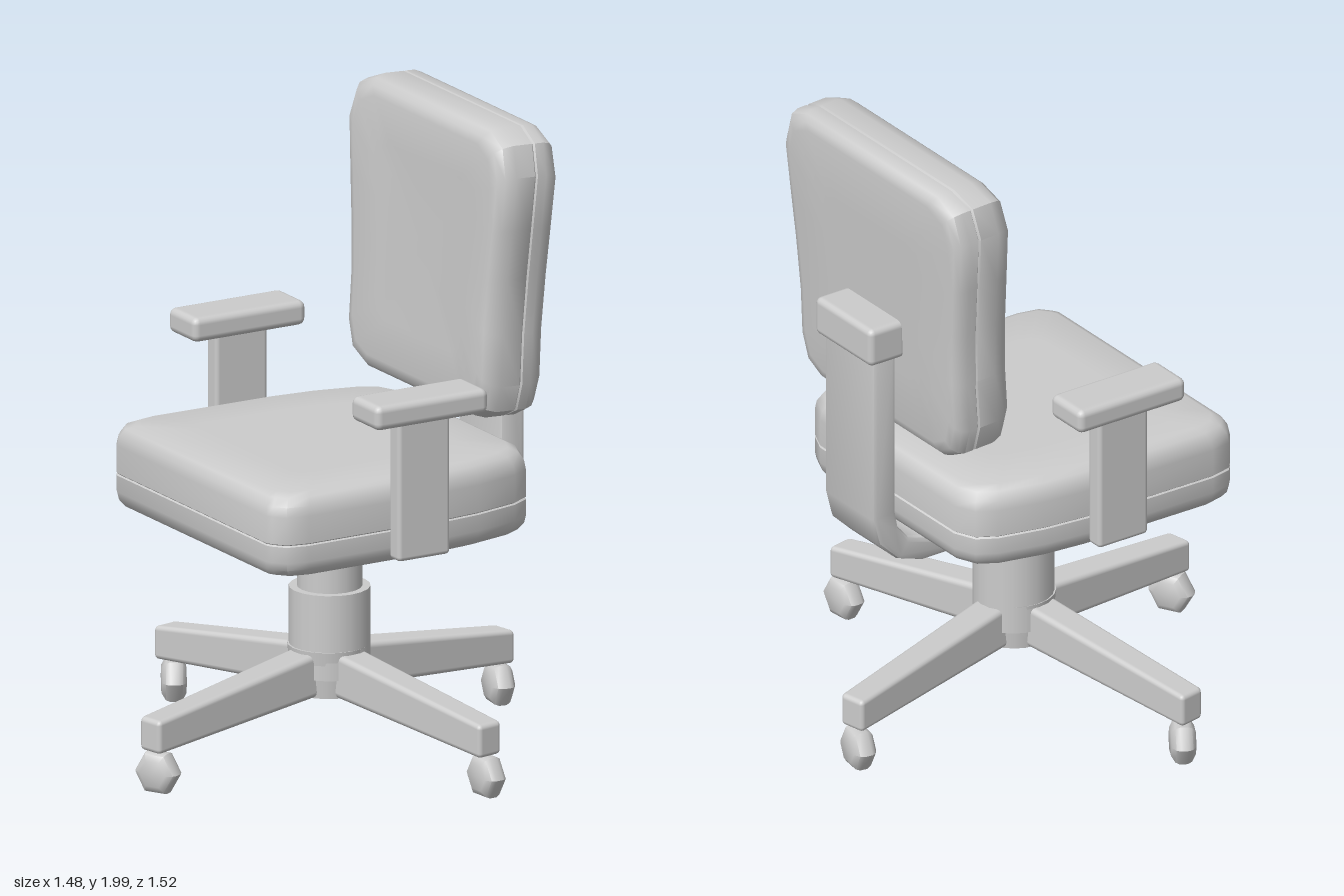
import * as THREE from 'three';
import { toCreasedNormals } from 'three/addons/utils/BufferGeometryUtils.js';
import { RoundedBoxGeometry } from 'three/addons/geometries/RoundedBoxGeometry.js';

const grey = new THREE.MeshStandardMaterial({ color: 0xcccccc });
grey.name = 'light grey';

function add(parent, name, geometry, x = 0, y = 0, z = 0) {
  const mesh = new THREE.Mesh(geometry, grey);
  mesh.name = name;
  mesh.position.set(x, y, z);
  parent.add(mesh);
  return mesh;
}

// Padded slab: a counter-clockwise outline [u, v] scaled and stacked along w by a profile [scale, w]
function slab(outline, profile, bend = () => 0) {
  const n = outline.length, pos = [], idx = [];
  profile.forEach(([s, w], i) => {
    outline.forEach(([u, v], j) => {
      pos.push(u * s, v * s, w + bend(u * s, w));
      if (i === 0) return;
      const k = (j + 1) % n, lo = (i - 1) * n, hi = i * n;
      if (profile[i - 1][0] > 0) idx.push(lo + j, lo + k, hi + k);
      if (s > 0) idx.push(lo + j, hi + k, hi + j);
    });
  });
  const g = new THREE.BufferGeometry();
  g.setAttribute('position', new THREE.Float32BufferAttribute(pos, 3));
  g.setIndex(idx);
  return toCreasedNormals(g, 0.75);
}

// Tapered star-base leg pointing along +x
function legGeometry() {
  const length = 0.735;
  const g = new RoundedBoxGeometry(length, 0.1, 0.09, 2, 0.014);
  const p = g.attributes.position;
  for (let i = 0; i < p.count; i++) {
    const x = p.getX(i) + length / 2, t = x / length;
    const top = 0.345 - 0.105 * t, bottom = 0.2 - 0.065 * t;
    p.setXYZ(i, x, bottom + (top - bottom) * (p.getY(i) / 0.1 + 0.5), p.getZ(i) * (1.25 - 0.25 * t));
  }
  return g;
}

export function createModel() {
  const chair = new THREE.Group();
  chair.name = 'officeChair';

  // Seat cushion, narrowing toward the backrest, with a seam line
  const side = [[-0.475, 0.44], [-0.465, 0.46], [-0.435, 0.495], [-0.365, 0.51], [0.1, 0.505], [0.25, 0.49], [0.4, 0.455], [0.46, 0.42], [0.49, 0.35]];
  const seatOutline = [...side.map(([x, v]) => [x, -v]), ...side.slice().reverse()];
  const seat = slab(seatOutline, [
    [0, 0.72], [0.6, 0.72], [0.91, 0.72], [0.96, 0.73], [0.99, 0.75], [1, 0.775], [1, 0.826], [0.99, 0.83],
    [1, 0.834], [1, 0.92], [0.99, 0.95], [0.96, 0.975], [0.91, 0.987], [0.6, 0.987], [0, 0.987],
  ]).rotateX(-Math.PI / 2);
  add(chair, 'seatCushion', seat, 0, 0, -0.012);

  // Backrest with waisted outline and a gently hollow front
  const edge = [[0.32, -0.46], [0.39, -0.425], [0.417, -0.34], [0.415, -0.18], [0.428, 0.0], [0.445, 0.16], [0.462, 0.33], [0.43, 0.425], [0.345, 0.46]];
  const backOutline = [...edge, ...edge.slice().reverse().map(([u, v]) => [-u, v])];
  const hollow = (u, w) => (w < 0.2 ? 0.025 * (1 - (u / 0.46) ** 2) : 0);
  const back = slab(backOutline, [
    [0, 0], [0.3, 0], [0.6, 0], [0.88, 0], [0.94, 0.008], [0.98, 0.03], [1, 0.065], [1, 0.13], [0.988, 0.135],
    [1, 0.14], [1, 0.17], [0.985, 0.2], [0.95, 0.217], [0.9, 0.222], [0.5, 0.222], [0, 0.222],
  ], hollow).rotateY(Math.PI / 2);
  add(chair, 'backrest', back, 0.314, 1.54, 0).rotation.z = -0.05;

  // Bent bar joining seat underside to backrest
  const bar = new THREE.Shape([
    [0.27, 0.62], [0.44, 0.62], [0.53, 0.65], [0.602, 0.72], [0.625, 0.81], [0.625, 1.37],
    [0.54, 1.37], [0.54, 0.82], [0.528, 0.76], [0.49, 0.715], [0.43, 0.7], [0.27, 0.7],
  ].map(([x, y]) => new THREE.Vector2(x, y)));
  const barGeometry = new THREE.ExtrudeGeometry(bar, {
    depth: 0.23, bevelThickness: 0.015, bevelSize: 0.015, bevelOffset: -0.015, bevelSegments: 2,
  });
  barGeometry.translate(0, 0, -0.115);
  add(chair, 'backSupportBar', toCreasedNormals(barGeometry, 0.7));
  add(chair, 'backBracket', new RoundedBoxGeometry(0.135, 0.125, 0.295, 2, 0.02), 0.582, 1.41, 0);

  // Armrests on both sides
  for (const s of [1, -1]) {
    const arm = new THREE.Group();
    arm.name = s > 0 ? 'frontSideArmrest' : 'rearSideArmrest';
    arm.position.set(s > 0 ? 0 : 0.015, 0, s > 0 ? 0 : -0.012);
    add(arm, 'armPad', new RoundedBoxGeometry(0.4, 0.078, 0.16, 2, 0.022), 0, 1.231, s * 0.545);
    add(arm, 'armPost', new RoundedBoxGeometry(0.185, 0.46, 0.06, 2, 0.014), 0, 0.98, s * 0.545);
    chair.add(arm);
  }

  // Centre column and hub
  add(chair, 'gasColumn', new THREE.CylinderGeometry(0.1, 0.1, 0.26, 20), 0.008, 0.61, 0);
  add(chair, 'columnSleeve', new THREE.CylinderGeometry(0.125, 0.125, 0.27, 20), 0.008, 0.385, 0);
  add(chair, 'hub', new THREE.CylinderGeometry(0.127, 0.11, 0.15, 20), 0.004, 0.265, 0);

  // Four legs
  const leg = legGeometry();
  for (let i = 0; i < 4; i++) add(chair, 'leg', leg).rotation.y = 0.2 + (i * Math.PI) / 2;

  // Six-sided casters, each swivelled differently
  const wheel = new THREE.LatheGeometry(
    [[0, -0.038], [0.045, -0.038], [0.066, -0.026], [0.073, -0.012], [0.073, 0.012], [0.066, 0.026], [0.045, 0.038], [0, 0.038]]
      .map(([r, y]) => new THREE.Vector2(r, y)), 6);
  const casterGeometry = toCreasedNormals(wheel.rotateZ(Math.PI / 2), 0.6);
  const casters = [[-0.685, 0.14, 0.5], [0.15, 0.688, 0.08], [0.695, -0.147, -0.15], [-0.13, -0.69, -0.5]];
  for (const [x, z, turn] of casters) add(chair, 'caster', casterGeometry, x, 0.068, z).rotation.y = turn;

  return chair;
}
